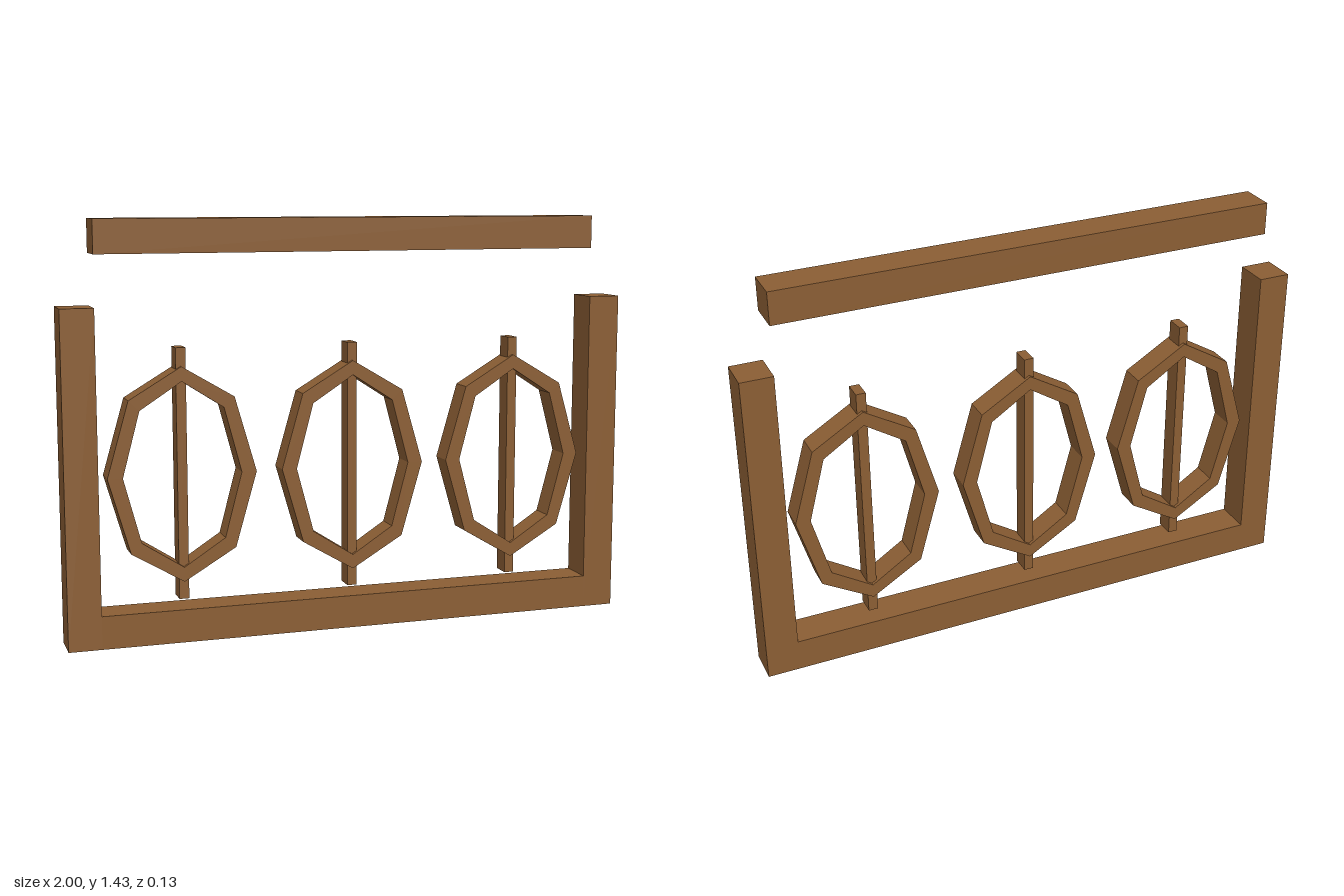
import * as THREE from 'three';

const DEPTH = 0.126;       // thickness of posts and rails
const MID_Y = 0.574;       // centre height of the ornaments
const RING_DEPTH = 0.09;

// Eight points of a stretched octagon, with a corner at the top
function octagon(rx, ry) {
  return Array.from({ length: 8 }, (_, i) => {
    const a = (i * Math.PI) / 4;
    return new THREE.Vector2(Math.cos(a) * rx, Math.sin(a) * ry);
  });
}

export function createModel() {
  const wood = new THREE.MeshStandardMaterial({ color: 0x8b5e34 });
  wood.name = 'brown wood';

  const group = new THREE.Group();
  group.name = 'railing';

  function add(parent, name, geometry, x, y) {
    const mesh = new THREE.Mesh(geometry, wood);
    mesh.name = name;
    mesh.position.set(x, y, 0);
    parent.add(mesh);
    return mesh;
  }

  // End posts
  const postGeometry = new THREE.BoxGeometry(0.113, 1.143, DEPTH);
  add(group, 'leftPost', postGeometry, 0.9435, 0.5715);
  add(group, 'rightPost', postGeometry, -0.9435, 0.5715);

  // Bottom rail between the posts, and the raised top rail
  const railGeometry = new THREE.BoxGeometry(1.774, 0.114, DEPTH);
  add(group, 'bottomRail', railGeometry, 0, 0.057);
  add(group, 'topRail', railGeometry, 0, 1.373);

  // Octagonal ring with a square section
  const ringShape = new THREE.Shape(octagon(0.255, 0.367));
  ringShape.holes.push(new THREE.Path(octagon(0.203, 0.317)));
  const ringGeometry = new THREE.ExtrudeGeometry(ringShape, {
    depth: RING_DEPTH, bevelEnabled: false,
  });
  ringGeometry.translate(0, 0, -RING_DEPTH / 2);

  // Upright bar through each ring
  const barGeometry = new THREE.BoxGeometry(0.034, 0.858, 0.067);

  for (const x of [-0.6, 0, 0.6]) {
    const baluster = new THREE.Group();
    baluster.name = 'baluster';
    baluster.position.set(x, MID_Y, 0);
    add(baluster, 'balusterRing', ringGeometry, 0, 0);
    add(baluster, 'balusterBar', barGeometry, 0, 0);
    group.add(baluster);
  }

  return group;
}
